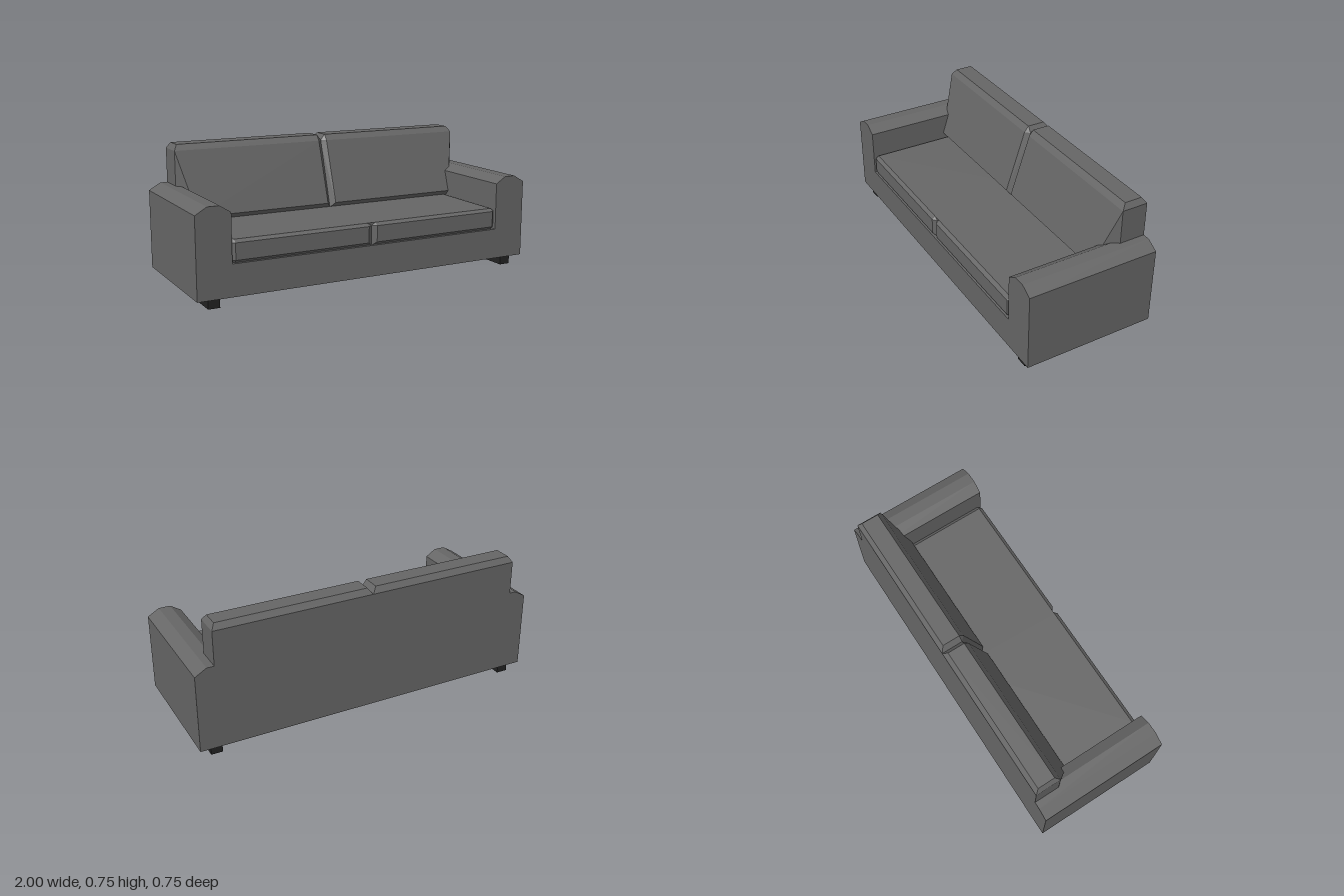
import * as THREE from 'three';

const fabric = new THREE.MeshStandardMaterial({ color: 0x666666, flatShading: true });
fabric.name = 'grey fabric';
const runnerPaint = new THREE.MeshStandardMaterial({ color: 0x232323, flatShading: true });
runnerPaint.name = 'black runner';

// Skins a stack of matching rings of [x, y, z] points and closes both ends.
// side = -1 mirrors the result across x.
function loft(rings, side) {
  const positions = [];
  const triangle = (a, b, c) => {
    const corners = side > 0 ? [a, b, c] : [a, c, b];
    const [p, q, r] = corners.map(([x, y, z]) => new THREE.Vector3(x * side, y, z));
    const area = q.clone().sub(p).cross(r.clone().sub(p)).length();
    if (area < 1e-7) return;
    for (const v of [p, q, r]) positions.push(v.x, v.y, v.z);
  };
  const n = rings[0].length;
  for (let k = 0; k < rings.length - 1; k++) {
    for (let i = 0; i < n; i++) {
      const j = (i + 1) % n;
      triangle(rings[k][i], rings[k][j], rings[k + 1][j]);
      triangle(rings[k][i], rings[k + 1][j], rings[k + 1][i]);
    }
  }
  const first = rings[0];
  const last = rings[rings.length - 1];
  for (let i = 1; i < n - 1; i++) {
    triangle(first[0], first[i + 1], first[i]);
    triangle(last[0], last[i], last[i + 1]);
  }
  const geometry = new THREE.BufferGeometry();
  geometry.setAttribute('position', new THREE.Float32BufferAttribute(positions, 3));
  geometry.computeVertexNormals();
  return geometry;
}

// Base and both arms: one U-shaped front profile, extruded front to back
function frameGeometry() {
  const half = [[0.81, 0.225], [0.81, 0.49], [0.87, 0.528], [0.935, 0.528], [1, 0.49], [1, 0.052]];
  const mirrored = half.map(([x, y]) => [-x, y]).reverse();
  const shape = new THREE.Shape([...half, ...mirrored].map(([x, y]) => new THREE.Vector2(x, y)));
  const geometry = new THREE.ExtrudeGeometry(shape, { depth: 0.746, bevelEnabled: false });
  geometry.translate(0, 0, -0.373);
  return geometry;
}

// Seat cushion: horizontal outlines with bevelled front corners
function seatGeometry(side) {
  const back = -0.3;
  const outline = (y, inset) => [
    [0, y, back], [0, y, 0.35], [0.025, y, 0.37 - inset],
    [0.79, y, 0.37 - inset], [0.81 - inset, y, 0.35], [0.81 - inset, y, back],
  ];
  return loft([outline(0.22, 0.02), outline(0.24, 0), outline(0.33, 0), outline(0.345, 0.02)], side);
}

// Backrest: side profiles from the centre groove out to the end
function backGeometry(side) {
  const groove = [
    [0, 0.2, -0.373], [0, 0.72, -0.373], [0, 0.72, -0.373], [0, 0.72, -0.25],
    [0, 0.7, -0.245], [0, 0.34, -0.135], [0, 0.335, -0.14], [0, 0.2, -0.14],
  ];
  const full = (xBack, xTop, xShoulder, xLow) => [
    [xBack, 0.2, -0.373], [xBack, 0.72, -0.373], [xTop, 0.752, -0.35], [xTop, 0.752, -0.25],
    [xShoulder, 0.72, -0.225], [xLow, 0.37, -0.11], [xLow, 0.335, -0.14], [xLow, 0.2, -0.14],
  ];
  const e = 0.895;
  const end = [
    [e, 0.2, -0.373], [e, 0.72, -0.373], [e, 0.72, -0.373], [e, 0.72, -0.225],
    [e, 0.72, -0.225], [e, 0.37, -0.225], [e, 0.335, -0.225], [e, 0.2, -0.225],
  ];
  return loft([groove, full(0.025, 0.025, 0.025, 0.025), full(e, 0.875, e, 0.81), end], side);
}

export function createModel() {
  const sofa = new THREE.Group();
  sofa.name = 'sofa';
  const add = (name, geometry, material) => {
    const mesh = new THREE.Mesh(geometry, material);
    mesh.name = name;
    sofa.add(mesh);
    return mesh;
  };

  add('baseAndArms', frameGeometry(), fabric);

  // Left and right halves
  for (const [label, side] of [['left', 1], ['right', -1]]) {
    add(label + 'SeatCushion', seatGeometry(side), fabric);
    add(label + 'Backrest', backGeometry(side), fabric);
    const runner = add(label + 'Runner', new THREE.BoxGeometry(0.064, 0.052, 0.7), runnerPaint);
    runner.position.set(side * 0.904, 0.026, 0);
  }
  return sofa;
}
